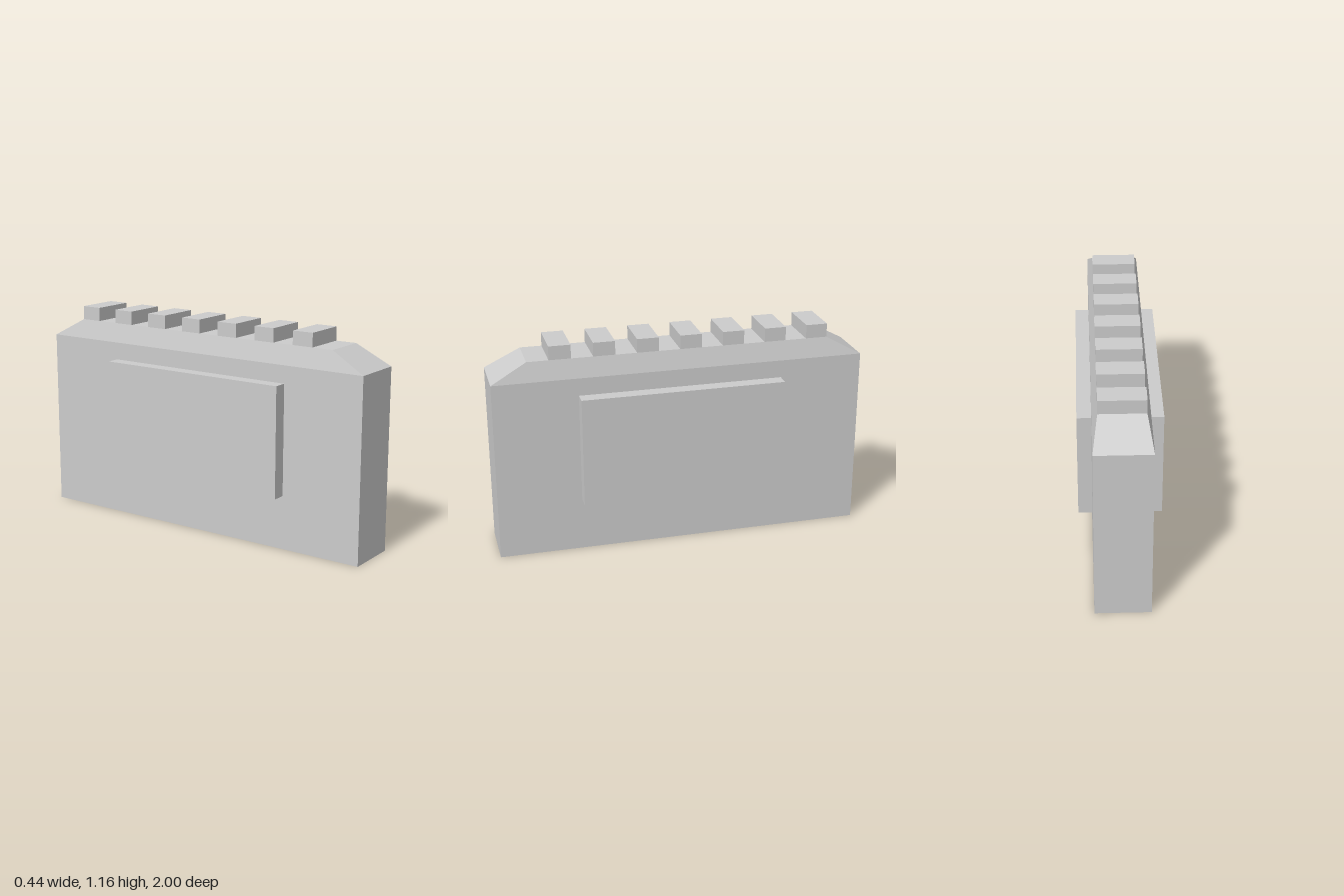
import * as THREE from 'three';

export function createModel() {
  const group = new THREE.Group();
  const material = new THREE.MeshStandardMaterial({ color: 0xcccccc, flatShading: true });

  function add(name, geometry, x, y, z) {
    const mesh = new THREE.Mesh(geometry, material);
    mesh.name = name;
    mesh.position.set(x, y, z);
    group.add(mesh);
  }

  const shoulderY = 0.98, topY = 1.083;
  const topHalfX = 0.118, topHalfZ = 0.81;

  // Body: a slab whose upper band tapers in on all four sides
  let body = new THREE.BoxGeometry(0.29, 2, 2, 1, 2, 1);
  const p = body.attributes.position;
  for (let i = 0; i < p.count; i++) {
    const y = p.getY(i);
    if (y > 0.5) {
      p.setXYZ(i, Math.sign(p.getX(i)) * topHalfX, topY, Math.sign(p.getZ(i)) * topHalfZ);
    } else {
      p.setY(i, y < -0.5 ? 0 : shoulderY);
    }
  }
  body = body.toNonIndexed();
  body.computeVertexNormals();
  add('body', body, 0, 0, 0);

  // Raised panel on each broad side
  const panelDepth = 0.0735;
  for (const side of [1, -1]) {
    add(side > 0 ? 'leftPanel' : 'rightPanel',
      new THREE.BoxGeometry(panelDepth, 0.595, 1.098),
      side * (0.145 + panelDepth / 2), 0.5875, 0);
  }

  // Row of seven teeth along the top, flush with the rear end of the ridge
  const toothHeight = 0.074, toothLength = 0.116;
  for (let i = 0; i < 7; i++) {
    add(`tooth${i + 1}`,
      new THREE.BoxGeometry(2 * topHalfX, toothHeight, toothLength),
      0, topY + toothHeight / 2, -topHalfZ + toothLength / 2 + i * 0.2315);
  }

  return group;
}
